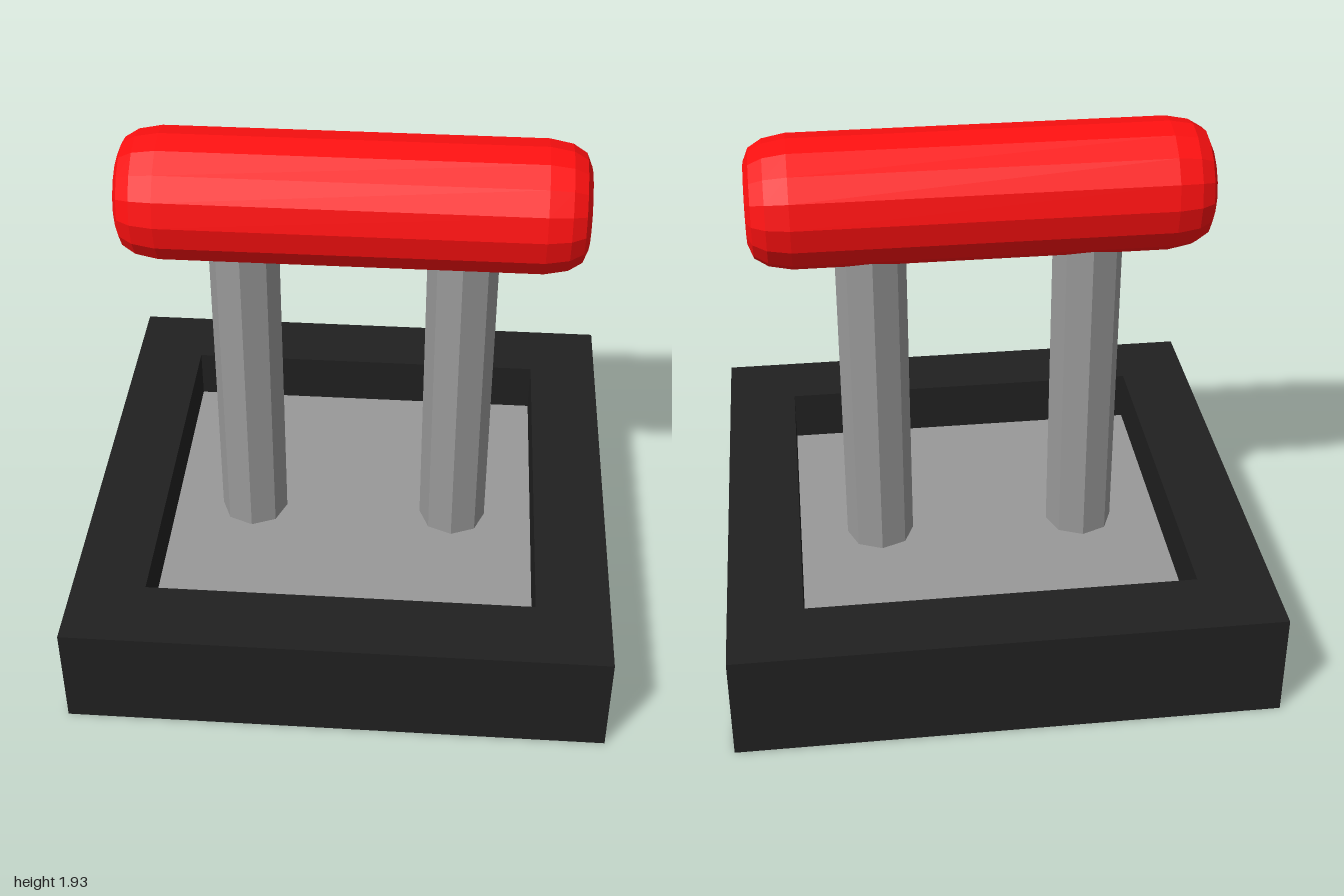
import * as THREE from 'three';

const material = (color) => new THREE.MeshStandardMaterial({ color, flatShading: true });

function part(name, geometry, mat, x = 0, y = 0, z = 0) {
  const mesh = new THREE.Mesh(geometry, mat);
  mesh.name = name;
  mesh.position.set(x, y, z);
  return mesh;
}

function squarePath(PathType, half) {
  return new PathType([[-1, -1], [1, -1], [1, 1], [-1, 1]].map(([x, y]) => new THREE.Vector2(x * half, y * half)));
}

export function createModel() {
  const model = new THREE.Group();
  model.name = 'handleOnBase';
  const dark = material(0x202020);
  const grey = material(0x999999);
  const red = material(0xff1010);

  const baseHeight = 0.41, floorY = 0.205, recess = 0.725;
  const gripY = 1.685, gripRadius = 0.245, gripHalf = 0.845;

  // Square base: a solid lower slab with a raised rim around the recess
  const base = new THREE.Group();
  base.name = 'base';
  const slabHeight = floorY - 0.01;
  base.add(part('baseSlab', new THREE.BoxGeometry(2, slabHeight, 2), dark, 0, slabHeight / 2));
  const rimShape = squarePath(THREE.Shape, 1);
  rimShape.holes.push(squarePath(THREE.Path, recess));
  const rim = new THREE.ExtrudeGeometry(rimShape, { depth: baseHeight - slabHeight, bevelEnabled: false });
  rim.rotateX(-Math.PI / 2);
  base.add(part('baseRim', rim, dark, 0, slabHeight));
  model.add(base);

  // Grey plate lying in the recess
  model.add(part('recessFloor', new THREE.BoxGeometry(recess * 2, 0.01, recess * 2), grey, 0, floorY - 0.005));

  // Two octagonal posts running from the plate into the grip
  const postHeight = gripY - floorY;
  const post = new THREE.CylinderGeometry(0.132, 0.132, postHeight, 8);
  for (const [name, side] of [['leftPost', 1], ['rightPost', -1]]) {
    model.add(part(name, post, grey, side * 0.405, floorY + postHeight / 2));
  }

  // Horizontal grip: sixteen sides with rounded ends, [radius, inset from the end]
  const end = [[0, 0], [0.15, 0], [0.198, 0.02], [0.229, 0.07], [gripRadius, 0.155]];
  const profile = [
    ...end.map(([r, inset]) => new THREE.Vector2(r, inset - gripHalf)),
    ...end.slice().reverse().map(([r, inset]) => new THREE.Vector2(r, gripHalf - inset)),
  ];
  const grip = new THREE.LatheGeometry(profile, 16);
  grip.rotateZ(-Math.PI / 2);
  model.add(part('grip', grip, red, 0, gripY));

  return model;
}
